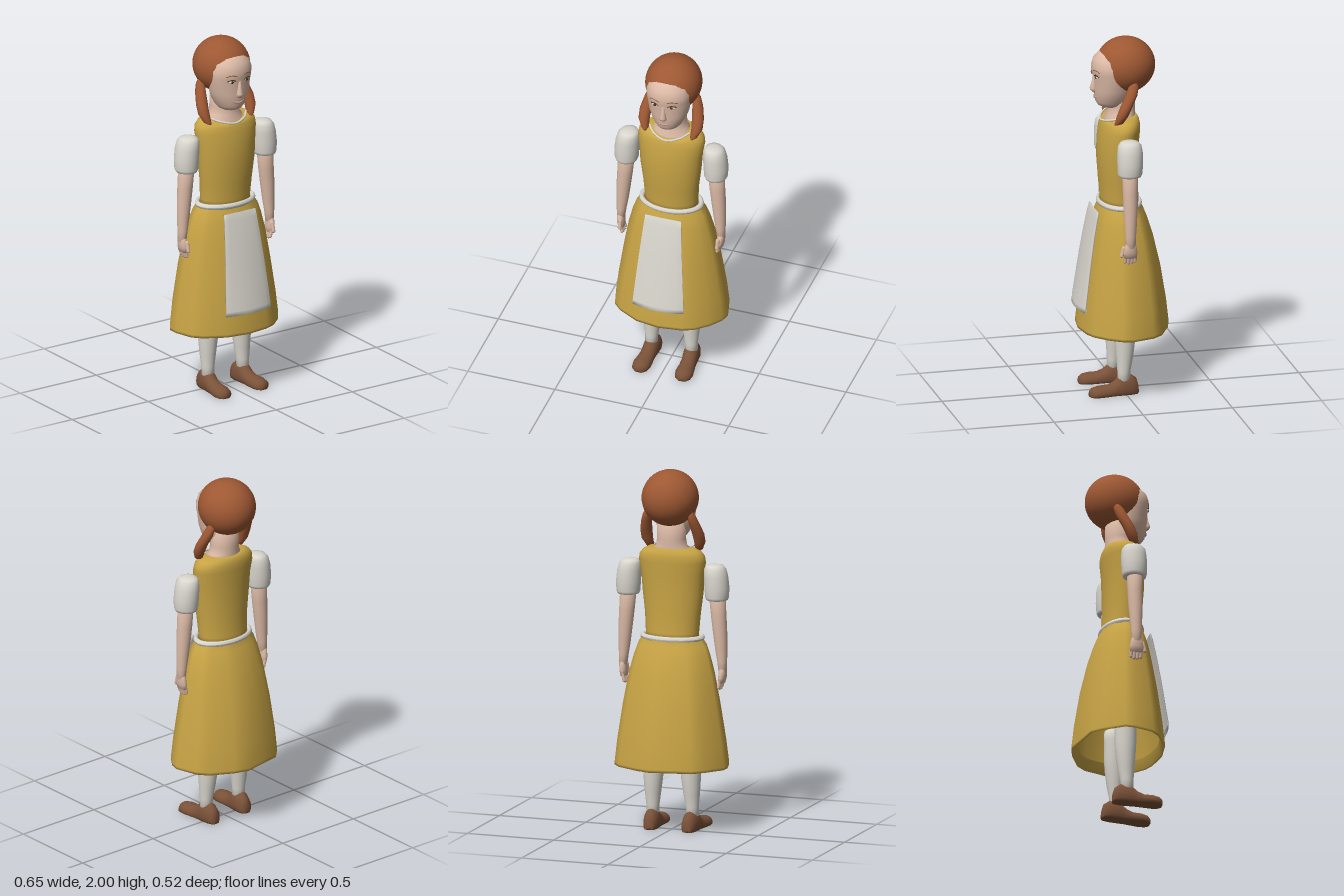
import * as THREE from 'three';

const mat = (name, color, double) => {
  const m = new THREE.MeshStandardMaterial({ color });
  m.name = name;
  if (double) m.side = THREE.DoubleSide;
  return m;
};

// Skin a stack of point rings (listed bottom to top), closing the ends if asked
function skin(rings, caps = true) {
  const n = rings[0].length, pos = rings.flat(2), idx = [];
  for (let j = 0; j < rings.length - 1; j++)
    for (let i = 0; i < n; i++) {
      const a = j * n + i, b = j * n + (i + 1) % n;
      idx.push(a, b, b + n, a, b + n, a + n);
    }
  if (caps) {
    [rings[0], rings[rings.length - 1]].forEach((ring, top) => {
      const c = pos.length / 3, base = top ? (rings.length - 1) * n : 0;
      for (let k = 0; k < 3; k++) pos.push(ring.reduce((s, p) => s + p[k], 0) / n);
      for (let i = 0; i < n; i++) {
        const a = base + i, b = base + (i + 1) % n;
        if (top) idx.push(a, b, c); else idx.push(b, a, c);
      }
    });
  }
  const g = new THREE.BufferGeometry();
  g.setAttribute('position', new THREE.Float32BufferAttribute(pos, 3));
  g.setIndex(idx);
  g.computeVertexNormals();
  return g;
}

// Elliptical ring: height, half width, front z, back z, centre x, drop of the front edge
function oval([y, rx, zf, zb, cx = 0, drop = 0], n = 28) {
  return Array.from({ length: n }, (_, i) => {
    const a = i / n * Math.PI * 2, c = Math.cos(a);
    return [cx + rx * Math.sin(a), y - drop * Math.max(0, c) ** 2, (zf + zb) / 2 + (zf - zb) / 2 * c];
  });
}
const loft = (rows, n) => skin(rows.map(r => oval(r, n)));

export function createModel() {
  const root = new THREE.Group();
  root.name = 'woman';
  const yellow = mat('yellowCloth', 0xc8a445, true);
  const white = mat('whiteCloth', 0xd9d6cd, true);
  const flesh = mat('skin', 0xdbb9a5);
  const hairMat = mat('auburnHair', 0x9e5833);
  const brown = mat('shoeLeather', 0x7b5239);
  const dark = mat('darkLashes', 0x4a3428);
  const lipMat = mat('lips', 0xc79a8a);
  const add = (name, geo, m, parent = root) => {
    const mesh = new THREE.Mesh(geo, m);
    mesh.name = name;
    parent.add(mesh);
    return mesh;
  };
  const tube = (pts, r, seg = 16) => new THREE.TubeGeometry(
    new THREE.CatmullRomCurve3(pts.map(p => new THREE.Vector3(...p))), seg, r, 8);

  // Skirt: uneven hem outline, blending to an oval waist, with a turned-in hem
  const hem = [[0, .24], [.13, .222], [.19, .197], [.26, .135], [.31, .065], [.325, .01], [.29, -.115],
    [.245, -.17], [.12, -.235], [.04, -.26], [-.08, -.235], [-.19, -.215], [-.245, -.16], [-.32, -.055],
    [-.32, .005], [-.29, .11], [-.245, .157], [-.13, .22]];
  const skirtRows = [[.42, .29, .215, -.228, 0], [.365, .31, .23, -.245, 0], [.36, .32, .24, -.255, 0],
    [.375, .32, .24, -.255, 0], [.5, .306, .227, -.243, .2], [.7, .276, .2, -.213, .5], [.87, .246, .17, -.175, .8],
    [.97, .22, .15, -.145, 1], [1.03, .198, .133, -.122, 1], [1.055, .18, .122, -.11, 1], [1.085, .168, .115, -.105, 1]];
  add('skirt', skin(skirtRows.map(([y, rx, zf, zb, blend]) => hem.map(([x, z]) => {
    const a = Math.atan2(x / .32, (z + .0075) / .2475);
    const mid = (zf + zb) / 2, half = (zf - zb) / 2;
    const hx = x / .32 * rx, hz = mid + (z + .0075) / .2475 * half;
    return [hx + (rx * Math.sin(a) - hx) * blend, y, hz + (mid + half * Math.cos(a) - hz) * blend];
  })), false), yellow);

  // Apron: thin curved panel widening downward
  const apronRows = [[.485, .147, .235, .259], [.51, .145, .234, .257], [.62, .137, .219, .237],
    [.76, .126, .2, .214], [.9, .114, .178, .188], [1.0, .106, .159, .166], [1.04, .102, .15, .155]];
  add('apron', skin(apronRows.map(([y, w, ze, zm]) => {
    const edge = [];
    for (let i = 0; i <= 8; i++) {
      const u = i / 4 - 1;
      edge.push([w * u, y, zm - (zm - ze) * u * u]);
    }
    return [...edge, ...edge.slice().reverse().map(([x, yy, z]) => [x, yy, z - .006])];
  })), white);

  // Belt
  const belt = new THREE.TorusGeometry(1, .09, 10, 40);
  belt.rotateX(Math.PI / 2);
  belt.scale(.167, .175, .11);
  belt.translate(0, 1.07, .008);
  belt.computeVertexNormals();
  add('belt', belt, white);

  // Bodice with a scooped neckline
  add('bodice', loft([[1.05, .15, .113, -.1], [1.1, .15, .11, -.095], [1.2, .157, .12, -.091],
    [1.32, .172, .128, -.092], [1.42, .179, .125, -.095], [1.49, .19, .115, -.1], [1.525, .185, .107, -.1],
    [1.55, .165, .1, -.095, 0, .012], [1.57, .125, .087, -.083, 0, .03]]), yellow);
  add('necklineTrim', tube([[-.115, 1.57, .04], [-.075, 1.555, .085], [0, 1.542, .112], [.075, 1.555, .085],
    [.115, 1.57, .04]], .006), white);

  // Neck and head
  add('neck', loft([[1.52, .112, .09, -.08], [1.56, .11, .086, -.08, 0, .014], [1.578, .086, .072, -.08],
    [1.62, .08, .066, -.08], [1.72, .08, .066, -.08]]), flesh);
  const head = new THREE.Group();
  head.name = 'head';
  root.add(head);
  add('face', loft([[1.615, .045, .1, -.01], [1.627, .065, .125, -.03], [1.648, .08, .139, -.05],
    [1.685, .098, .145, -.06], [1.72, .11, .149, -.06], [1.78, .12, .15, -.06], [1.815, .124, .158, -.06],
    [1.85, .125, .16, -.06], [1.89, .113, .149, -.06], [1.92, .09, .121, -.06], [1.95, .05, .07, -.05]]), flesh, head);
  const hair = new THREE.SphereGeometry(1, 36, 24);
  hair.scale(.155, .155, .163);
  hair.translate(0, 1.845, -.028);
  add('hair', hair, hairMat, head);
  add('nose', loft([[1.7, .011, .154, .13], [1.712, .02, .167, .13], [1.725, .019, .172, .13],
    [1.76, .012, .161, .13], [1.8, .008, .156, .13]], 14), flesh, head);
  add('mouth', tube([[-.035, 1.678, .134], [0, 1.672, .146], [.035, 1.678, .134]], .005), lipMat, head);

  // Leg: stocking rows with ankle toward the front
  const legRows = [[.07, .034, .045, -.025, .115], [.13, .036, .045, -.026, .114], [.2, .045, .05, -.04, .112],
    [.29, .054, .058, -.052, .109], [.36, .056, .062, -.056, .108], [.46, .057, .063, -.056, .105],
    [.52, .055, .06, -.055, .104]];
  // Shoe stations along its length: z, half width, top height
  const shoeRows = [[-.07, .018, .055], [-.06, .033, .09], [-.03, .042, .113], [.01, .043, .12], [.035, .042, .108],
    [.065, .041, .08], [.1, .045, .064], [.15, .05, .062], [.185, .043, .055], [.203, .022, .042]];

  for (const s of [1, -1]) {
    const side = s > 0 ? 'left' : 'right';
    const at = rows => rows.map(([y, rx, zf, zb, cx]) => [y, rx, zf, zb, cx * s]);

    // Eye, lashes and brow
    const eye = new THREE.SphereGeometry(1, 16, 10);
    eye.scale(.019, .009, .008);
    eye.translate(.048 * s, 1.798, .143);
    add(side + 'Eye', eye, white, head);
    const iris = new THREE.SphereGeometry(1, 12, 8);
    iris.scale(.009, .008, .004);
    iris.translate(.048 * s, 1.798, .149);
    add(side + 'Iris', iris, dark, head);
    add(side + 'Lash', tube([[.026 * s, 1.802, .152], [.048 * s, 1.81, .149], [.073 * s, 1.802, .136]], .003), dark, head);
    add(side + 'Brow', tube([[.022 * s, 1.829, .157], [.05 * s, 1.836, .148], [.08 * s, 1.827, .132]], .003), hairMat, head);

    // Pigtail curving down and forward
    add(side + 'Pigtail', loft([[1.545, .008, .068, .045, .135 * s], [1.555, .02, .068, .02, .14 * s],
      [1.6, .031, .057, -.006, .152 * s], [1.65, .033, .037, -.028, .15 * s], [1.71, .029, .006, -.06, .138 * s],
      [1.755, .022, -.015, -.07, .128 * s], [1.78, .012, -.035, -.06, .122 * s]], 16), hairMat, head);

    // Puffed sleeve and arm
    add(side + 'Sleeve', loft(at([[1.288, .05, .068, -.042, .257], [1.29, .058, .074, -.05, .257],
      [1.305, .065, .079, -.056, .257], [1.36, .068, .081, -.06, .256], [1.42, .066, .08, -.06, .251],
      [1.46, .06, .075, -.054, .246], [1.478, .048, .06, -.04, .243], [1.485, .026, .038, -.016, .241]])), white);
    add(side + 'Arm', loft(at([[.89, .022, .042, -.012, .288], [.95, .027, .045, -.014, .285],
      [1.02, .034, .048, -.02, .28], [1.12, .04, .053, -.027, .273], [1.2, .043, .054, -.029, .266],
      [1.32, .046, .056, -.03, .257]]), 18), flesh);

    // Hand: palm, four fingers and a thumb
    const hand = new THREE.Group();
    hand.name = side + 'Hand';
    root.add(hand);
    add('palm', loft(at([[.83, .016, .05, -.02, .283], [.86, .021, .057, -.023, .286],
      [.89, .021, .05, -.018, .288], [.925, .02, .038, -.008, .288]]), 16), flesh, hand);
    for (let i = 0; i < 4; i++) {
      const f = add('finger', new THREE.CapsuleGeometry(.0095, .042, 4, 8), flesh, hand);
      f.position.set(.279 * s, .821 + (i === 0 || i === 3 ? .007 : 0), .042 - i * .018);
      f.rotation.z = -.25 * s;
    }
    const thumb = add('thumb', new THREE.CapsuleGeometry(.011, .045, 4, 8), flesh, hand);
    thumb.position.set(.28 * s, .866, .058);
    thumb.rotation.x = -.25;

    // Stocking and shoe
    add(side + 'Stocking', loft(at(legRows), 20), white);
    const shoe = skin(shoeRows.map(([z, w, h]) => oval([z, w, h * .28, -h], 20)));
    shoe.rotateX(Math.PI / 2);
    const p = shoe.attributes.position;
    for (let i = 0; i < p.count; i++) p.setY(i, Math.max(.005, p.getY(i)));
    shoe.computeVertexNormals();
    shoe.rotateY(.06 * s);
    shoe.translate(.113 * s, -.005, 0);
    add(side + 'Shoe', shoe, brown);
  }
  return root;
}
